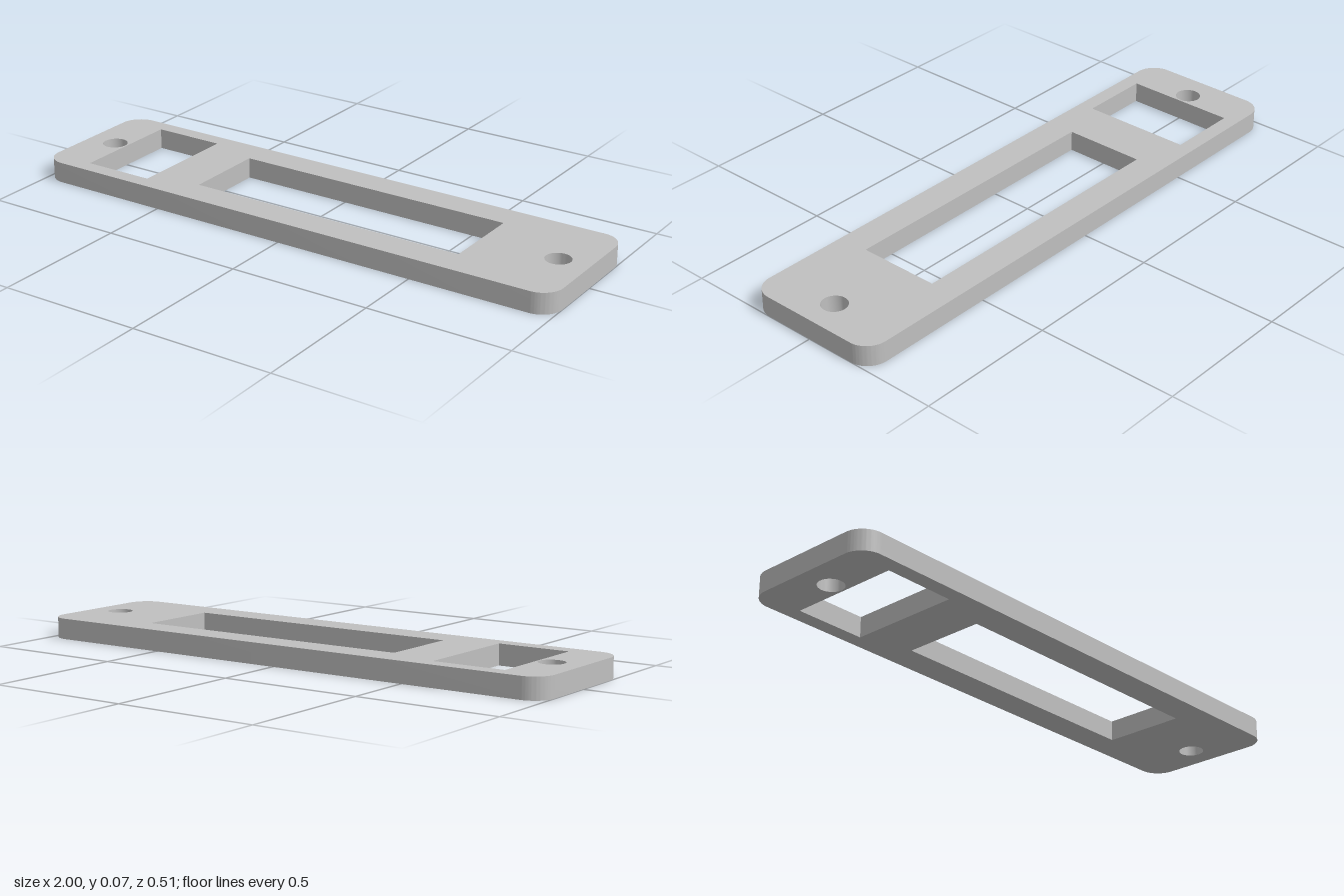
import * as THREE from 'three';
import { toCreasedNormals } from 'three/addons/utils/BufferGeometryUtils.js';

const HALF_W = 1, HALF_D = 0.255, THICKNESS = 0.073, CORNER = 0.075;

// Plate outline with rounded corners
function roundedOutline(w, d, r) {
  const s = new THREE.Shape();
  s.absarc(w - r, d - r, r, 0, Math.PI / 2);
  s.absarc(-w + r, d - r, r, Math.PI / 2, Math.PI);
  s.absarc(-w + r, -d + r, r, Math.PI, Math.PI * 1.5);
  s.absarc(w - r, -d + r, r, Math.PI * 1.5, Math.PI * 2);
  s.closePath();
  return s;
}

function rectHole(x0, x1, y0, y1) {
  return new THREE.Path([[x0, y0], [x0, y1], [x1, y1], [x1, y0]].map(([x, y]) => new THREE.Vector2(x, y)));
}

export function createModel() {
  const group = new THREE.Group();
  group.name = 'mountingPlate';
  const grey = new THREE.MeshStandardMaterial({ color: 0xbfbfbf });
  grey.name = 'grey';

  const shape = roundedOutline(HALF_W, HALF_D, CORNER);
  // Small switch window and long display window
  shape.holes.push(rectHole(-0.84, -0.583, -0.2, 0.2), rectHole(-0.403, 0.615, -0.145, 0.148));
  // Screw holes at both ends
  for (const x of [-0.89, 0.89]) {
    shape.holes.push(new THREE.Path().absarc(x, 0, 0.044, 0, Math.PI * 2, true));
  }

  // Lay the extruded plate flat, standing on y = 0
  const geometry = new THREE.ExtrudeGeometry(shape, { depth: THICKNESS, bevelEnabled: false, curveSegments: 16 });
  geometry.rotateX(-Math.PI / 2);
  const plate = new THREE.Mesh(toCreasedNormals(geometry, Math.PI / 5), grey);
  plate.name = 'plate';
  group.add(plate);
  return group;
}
